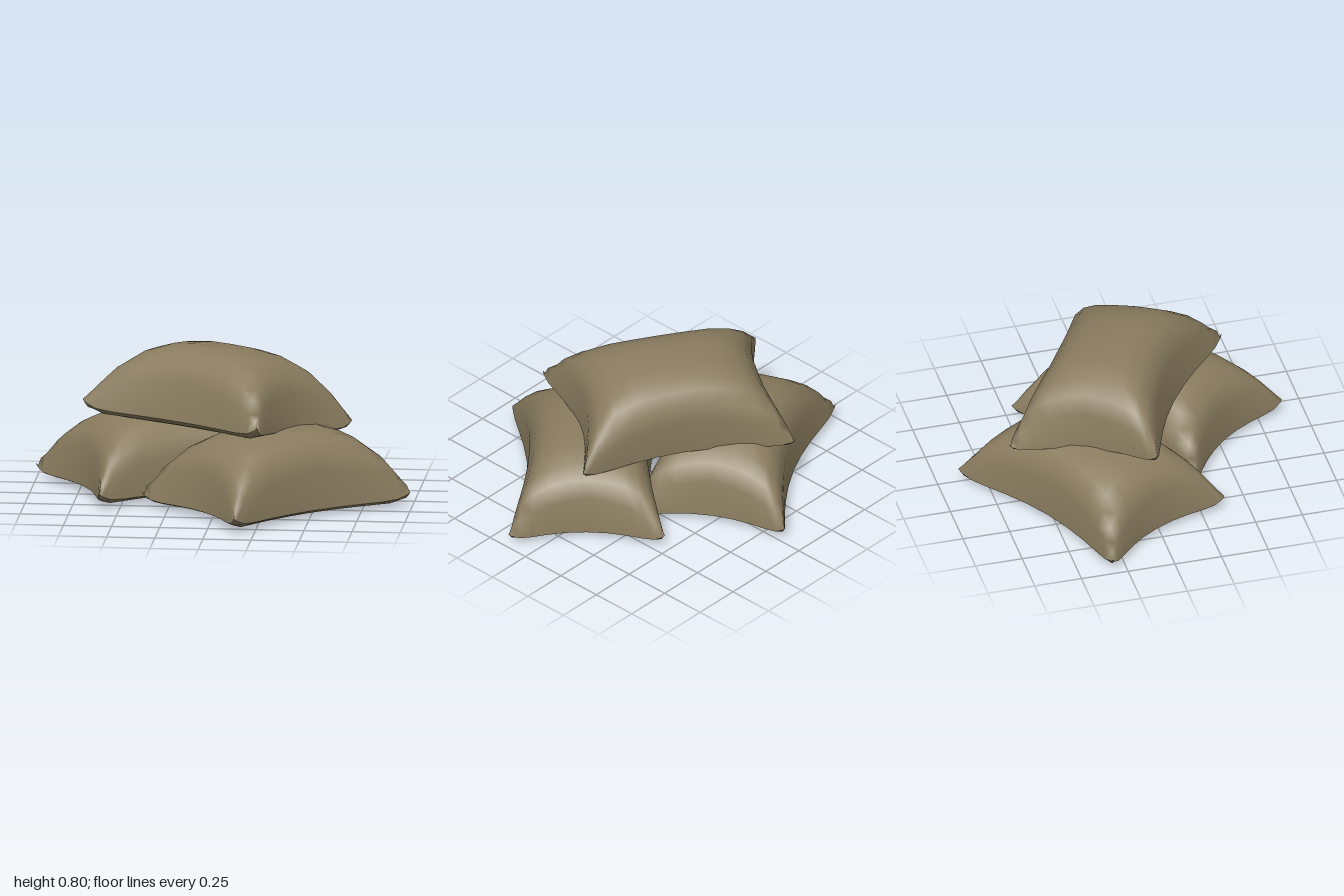
import * as THREE from 'three';

const HALF_L = 0.57, HALF_W = 0.405, HEIGHT = 0.425, PINCH = 0.09, SEGMENTS = 12;

// One half of the bag: a grid pushed into a domed top or a shallow underside
function bagShell(isTop) {
  const geo = new THREE.PlaneGeometry(2, 2, SEGMENTS, SEGMENTS);
  geo.rotateX(isTop ? -Math.PI / 2 : Math.PI / 2);
  const pos = geo.attributes.position;
  const falloff = (a) => Math.max(0, 1 - Math.pow(Math.abs(a), 2.8));
  const pinch = (a) => PINCH * Math.pow(Math.max(0, 1 - a * a), 1.2);
  for (let i = 0; i < pos.count; i++) {
    // Sine spacing crowds the rows towards the seam
    const s = Math.sin(pos.getX(i) * Math.PI / 2);
    const t = Math.sin(pos.getZ(i) * Math.PI / 2);
    // The seam runs low along the sides and lifts at the corners
    const seamY = 0.037 + 0.048 * Math.pow(s * t, 12);
    // Sides bulge steeply, corners taper more gently
    const fullness = Math.pow(falloff(s) * falloff(t), 0.27 + 0.13 * Math.abs(s * t));
    const y = isTop
      ? seamY + (HEIGHT - seamY) * fullness
      : seamY * Math.pow(Math.max(Math.abs(s), Math.abs(t)), 6);
    // Sides are drawn in between the pulled-out corners
    pos.setXYZ(i, s * (HALF_L - pinch(t)), y, t * (HALF_W - pinch(s)));
  }
  geo.computeVertexNormals();
  return geo;
}

export function createModel() {
  const model = new THREE.Group();
  model.name = 'sandbagPile';
  const cloth = new THREE.MeshStandardMaterial({ color: 0x8a7c5f });
  const topGeo = bagShell(true), bottomGeo = bagShell(false);

  function addBag(name, [x, y, z], turn, tilt = 0) {
    const bag = new THREE.Group();
    bag.name = name;
    const upper = new THREE.Mesh(topGeo, cloth);
    upper.name = name + 'Dome';
    const lower = new THREE.Mesh(bottomGeo, cloth);
    lower.name = name + 'Underside';
    bag.add(upper, lower);
    bag.position.set(x, y, z);
    bag.rotation.set(tilt, turn, 0, 'YXZ');
    model.add(bag);
  }

  // Two bags on the ground, one leaning across them
  addBag('frontSandbag', [0.305, 0, 0.2], 0.73);
  addBag('backSandbag', [-0.305, 0, -0.26], 0.515);
  addBag('topSandbag', [-0.035, 0.366, -0.05], -0.56, -0.12);
  return model;
}
